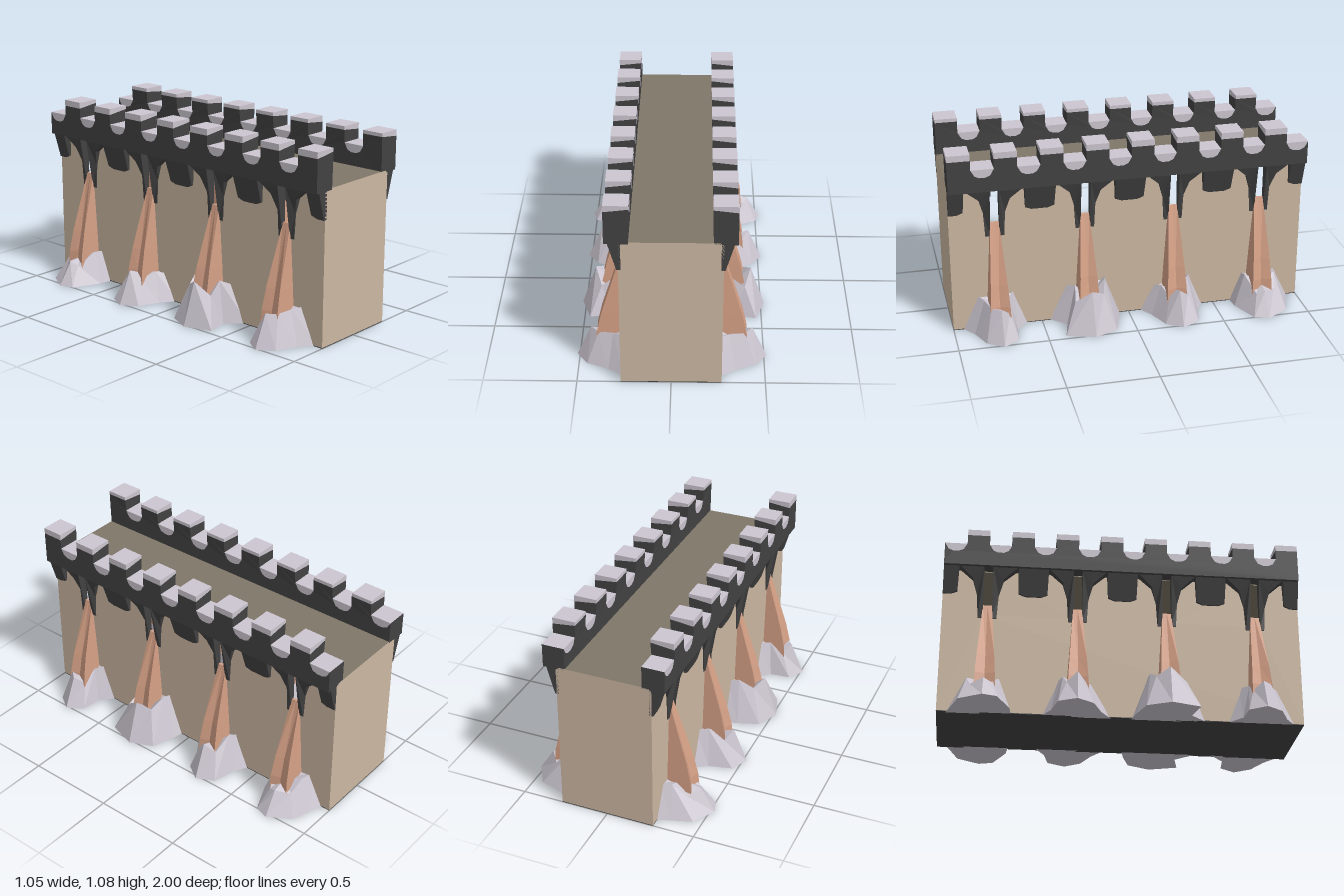
import * as THREE from 'three';

const mat = (name, color, flatShading = true) => {
  const m = new THREE.MeshStandardMaterial({ color });
  m.name = name;
  m.flatShading = flatShading;
  return m;
};

export function createModel() {
  const tan = mat('tan wall', 0xcbb7a1);
  const walkway = mat('brown walkway', 0x7f7668);
  const dark = mat('dark stone', 0x424242);
  const pale = mat('pale stone', 0xcbc5cf);
  const clay = mat('clay', 0xd29e84);

  const model = new THREE.Group();
  model.name = 'battlementWall';
  const add = (parent, name, geo, material) => {
    const mesh = new THREE.Mesh(geo, material);
    mesh.name = name;
    parent.add(mesh);
    return mesh;
  };

  // Extrudes a [z, y] outline from x0 to x1
  const toPts = (pts) => pts.map(([z, y]) => new THREE.Vector2(-z, y));
  const slab = (pts, x0, x1, holes = []) => {
    const shape = new THREE.Shape(toPts(pts));
    holes.forEach((h) => shape.holes.push(new THREE.Path(toPts(h))));
    return new THREE.ExtrudeGeometry(shape, { depth: x1 - x0, bevelEnabled: false })
      .rotateY(Math.PI / 2).translate(x0, 0, 0);
  };
  // Moves each vertex by a rule
  const reshape = (geo, rule) => {
    const p = geo.attributes.position, v = new THREE.Vector3();
    for (let i = 0; i < p.count; i++) {
      rule(v.fromBufferAttribute(p, i));
      p.setXYZ(i, v.x, v.y, v.z);
    }
    geo.computeVertexNormals();
    return geo;
  };
  // Skins stacked rings of [x, y, z] points, closing both ends with fans
  const loft = (rings, topCentre) => {
    const out = [], n = rings[0].length;
    const mid = (r) => [0, 1, 2].map((k) => r.reduce((s, p) => s + p[k], 0) / n);
    const top = rings[rings.length - 1], c0 = mid(rings[0]), c1 = topCentre || mid(top);
    for (let i = 0; i < n; i++) {
      const j = (i + 1) % n;
      out.push(c0, rings[0][i], rings[0][j], c1, top[j], top[i]);
      for (let k = 0; k + 1 < rings.length; k++) {
        const a = rings[k], b = rings[k + 1];
        out.push(a[i], b[i], a[j], a[j], b[i], b[j]);
      }
    }
    const geo = new THREE.BufferGeometry();
    geo.setAttribute('position', new THREE.Float32BufferAttribute(out.flat(), 3));
    geo.computeVertexNormals();
    return geo;
  };

  const W = 0.268;
  const bays = [0.75, 0.25, -0.25, -0.75];

  // Wall body with four narrow slots
  const slots = bays.map((z) => [[z - 0.025, 0.58], [z + 0.025, 0.58], [z + 0.025, 0.848], [z - 0.025, 0.848]]);
  add(model, 'wall', slab([[-1, 0.004], [1, 0.004], [1, 0.85], [-1, 0.85]], -W, W, slots), tan);
  add(model, 'wallUnderside', new THREE.BoxGeometry(2 * W, 0.004, 2).translate(0, 0.002, 0), dark);

  // Chamfered walkway on top of the wall
  const crown = new THREE.Shape([[-W, 0.85], [W, 0.85], [0.25, 0.865], [-0.25, 0.865]].map((p) => new THREE.Vector2(...p)));
  add(model, 'walkway', new THREE.ExtrudeGeometry(crown, { depth: 2, bevelEnabled: false }).translate(0, 0, -1), [tan, walkway]);

  // Parapet outline: a merlon then a rounded notch, eight times
  const notch = [[0, 0.985], [0.02, 0.95], [0.045, 0.938], [0.08, 0.938], [0.105, 0.95], [0.125, 0.985]];
  const outline = [[-1, 0.855], [1, 0.855]];
  const fills = [], merlons = [];
  for (let k = 0; k < 8; k++) {
    const z = 1 - 0.25 * k, cut = notch.map(([d, y]) => [z - 0.125 - d, y]);
    outline.push([z, 1.04], [z - 0.125, 1.04], ...cut);
    fills.push(cut);
    merlons.push(z - 0.0625);
  }
  const X0 = 0.215, X1 = 0.34;
  const lean = (v) => {
    if (v.y < 1 || v.x > 0.3) return;
    v.x = 0.21;
    if (v.y < 1.05) v.y = 1.055;
  };
  const parapetGeo = reshape(slab(outline, X0, X1), lean);
  const capGeo = reshape(new THREE.BoxGeometry(X1 - X0, 0.035, 0.125).toNonIndexed()
    .translate((X0 + X1) / 2, 1.0575, 0), lean);

  // Corbels slope back toward the wall as they go down
  const outer = (y) => (y > 0.7 ? 0.276 + (y - 0.7) * 0.29 : 0.273);
  const corbel = (pts) => reshape(slab(pts, 0.255, 0.32), (v) => {
    if (v.x > 0.3) v.x = outer(v.y);
  });
  const leg = [[0.025, 0.857], [0.025, 0.56], [0.052, 0.56], [0.06, 0.7], [0.085, 0.79], [0.16, 0.857]];
  const block = [[-0.085, 0.857], [-0.08, 0.718], [-0.045, 0.703], [0.045, 0.703], [0.08, 0.718], [0.085, 0.857]];

  // Buttress cross-sections with a creased outer face
  const fin = (z, y, x, w) => [[0.255, y, z - w], [x, y, z - w], [x - 0.02 * (x > 0.3), y, z], [x, y, z + w], [0.255, y, z + w]];

  // Boulder footprints [x, z] and rim heights, one per bay
  const boulders = [
    { base: [[0.25, 0.57], [0.34, 0.65], [0.455, 0.66], [0.515, 0.75], [0.455, 0.84], [0.34, 0.89], [0.25, 0.955]], rim: [0.21, 0.2, 0.14, 0.18, 0.18, 0.19, 0.2] },
    { base: [[0.25, 0.05], [0.34, 0.07], [0.46, 0.11], [0.52, 0.24], [0.47, 0.4], [0.34, 0.37], [0.25, 0.47]], rim: [0.24, 0.25, 0.2, 0.24, 0.17, 0.23, 0.2] },
    { base: [[0.25, -0.44], [0.34, -0.39], [0.47, -0.36], [0.52, -0.26], [0.46, -0.17], [0.34, -0.12], [0.25, -0.06]], rim: [0.2, 0.21, 0.14, 0.19, 0.14, 0.17, 0.15] },
    { base: [[0.25, -0.95], [0.34, -0.92], [0.45, -0.885], [0.525, -0.76], [0.5, -0.68], [0.34, -0.61], [0.25, -0.6]], rim: [0.18, 0.18, 0.11, 0.13, 0.11, 0.18, 0.17] },
  ];

  for (const s of [1, -1]) {
    const side = new THREE.Group();
    side.name = s > 0 ? 'leftSide' : 'rightSide';
    side.scale.x = s;
    model.add(side);

    add(side, 'parapet', parapetGeo, dark);
    merlons.forEach((z) => { add(side, 'merlonCap', capGeo, pale).position.z = z; });
    fills.forEach((f) => add(side, 'notchSill', slab(f, X0, X1), pale));

    // Short corbels between the bays, cut off at the wall ends
    for (const z of [1, 0.5, 0, -0.5, -1]) {
      const pts = block.map(([d, y]) => [THREE.MathUtils.clamp(z + d, -1, 1), y]);
      const clean = pts.filter((p, i) => i === 0 || Math.abs(p[0]) < 1 || Math.abs(pts[i - 1][0]) < 1
        || i === pts.length - 1 || Math.abs(pts[i + 1][0]) < 1);
      add(side, 'shortCorbel', corbel(clean), dark);
    }

    bays.forEach((z, i) => {
      // Pair of long corbels framing the slot
      for (const m of [1, -1]) add(side, 'longCorbel', corbel(leg.map(([d, y]) => [z + m * d, y])), dark);

      // Tapering buttress
      add(side, 'buttress', loft([fin(z, 0.08, 0.41, 0.058), fin(z, 0.18, 0.402, 0.054),
        fin(z, 0.3, 0.375, 0.047), fin(z, 0.64, 0.27, 0.025)]), clay);

      // Boulder at the foot
      const { base, rim } = boulders[i];
      const foot = base.map(([x, zz]) => [x, 0, zz]);
      const lip = base.map(([x, zz], k) => [0.25 + (x - 0.25) * 0.7, rim[k], z + (zz - z) * 0.56]);
      add(side, 'boulder', loft([foot, lip], [0.34, 0.15, z]), pale);
    });
  }
  return model;
}
